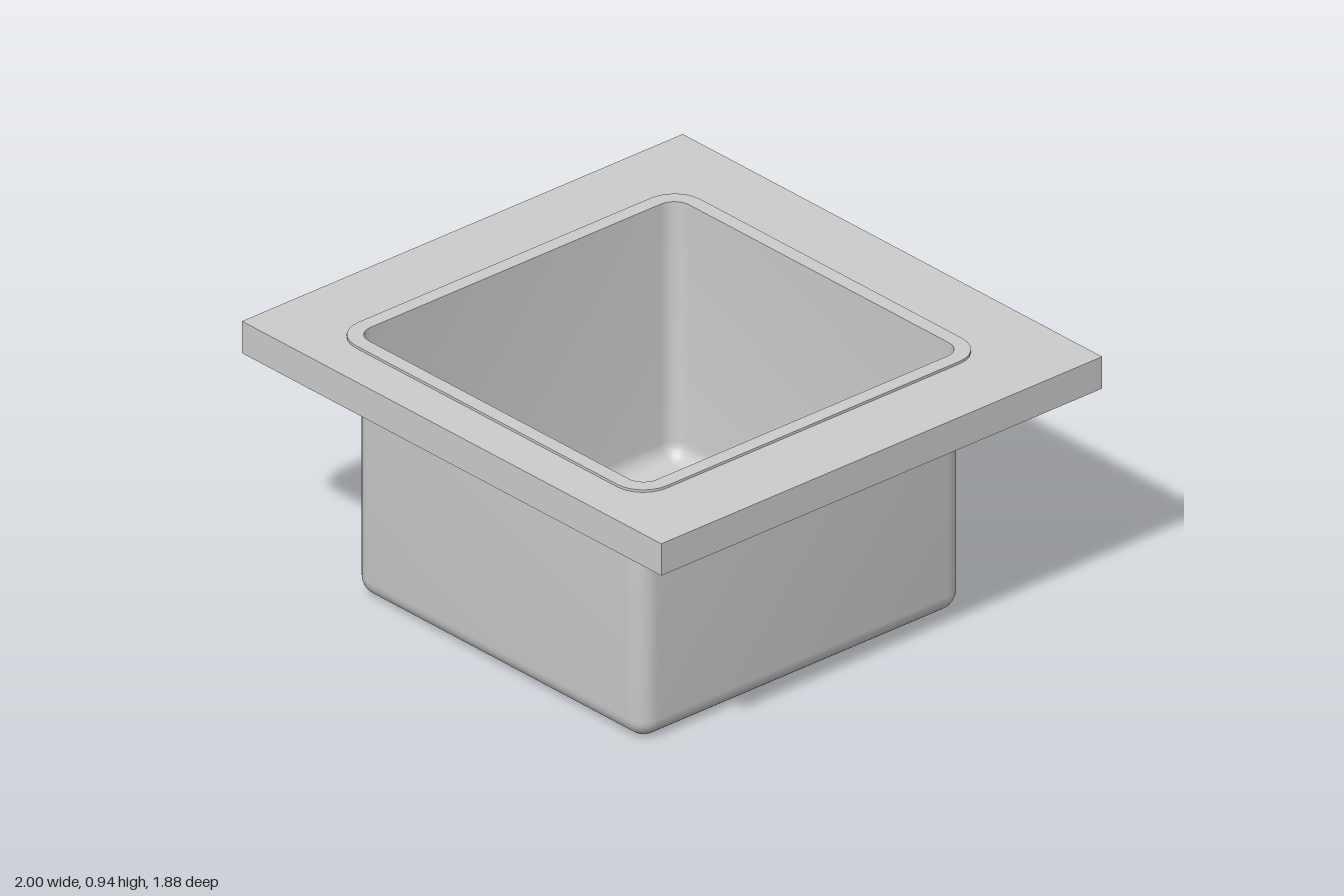
import * as THREE from 'three';
import { toCreasedNormals } from 'three/addons/utils/BufferGeometryUtils.js';

const material = new THREE.MeshStandardMaterial({ color: 0xcccccc });
const BASIN_Z = 0.056; // basin sits slightly forward of the slab centre
const STEPS = 6;       // segments per rounded corner

// Rounded square outline as [x, z] points
function outline(half, r) {
  const points = [];
  for (let corner = 0; corner < 4; corner++) {
    const mid = (corner + 0.5) * Math.PI / 2;
    const cx = Math.sign(Math.cos(mid)) * (half - r);
    const cz = Math.sign(Math.sin(mid)) * (half - r);
    for (let i = 0; i <= STEPS; i++) {
      const a = (corner + i / STEPS) * Math.PI / 2;
      points.push([cx + r * Math.cos(a), cz + r * Math.sin(a)]);
    }
  }
  return points;
}

// Skin joining rounded-square sections [half width, corner radius, y]
function loft(sections) {
  const positions = [], indices = [];
  const n = 4 * (STEPS + 1);
  sections.forEach(([half, r, y], s) => {
    for (const [x, z] of outline(half, r)) positions.push(x, y, z);
    if (s === 0) return;
    for (let i = 0; i < n; i++) {
      const j = (i + 1) % n, a = (s - 1) * n, b = s * n;
      if (sections[s - 1][0] > 0) indices.push(a + i, a + j, b + i);
      if (half > 0) indices.push(a + j, b + j, b + i);
    }
  });
  const geometry = new THREE.BufferGeometry();
  geometry.setAttribute('position', new THREE.Float32BufferAttribute(positions, 3));
  geometry.setIndex(indices);
  return toCreasedNormals(geometry, 0.6);
}

// Rounded bottom edge, from the floor up to the wall
function fillet(half, r, floorY) {
  const sections = [];
  for (let i = 0; i <= STEPS; i++) {
    const a = i / STEPS * Math.PI / 2;
    const inset = r * (1 - Math.sin(a));
    sections.push([half - inset, r - inset, floorY + r * (1 - Math.cos(a))]);
  }
  return sections;
}

export function createModel() {
  const group = new THREE.Group();

  // Square-edged slab with an opening for the basin
  const shape = new THREE.Shape([[-1, -0.94], [1, -0.94], [1, 0.94], [-1, 0.94]]
    .map(([x, y]) => new THREE.Vector2(x, y)));
  shape.holes.push(new THREE.Path(outline(0.705, 0.06)
    .map(([x, z]) => new THREE.Vector2(x, z - BASIN_Z))));
  const slabGeometry = new THREE.ExtrudeGeometry(shape, { depth: 0.115, bevelEnabled: false });
  slabGeometry.rotateX(-Math.PI / 2);
  const slab = new THREE.Mesh(slabGeometry, material);
  slab.name = 'counterSlab';
  slab.position.y = 0.81;
  group.add(slab);

  // Thin-walled basin: inside, overlapping rim, then outside
  const basin = new THREE.Mesh(loft([
    [0, 0, 0.007],
    ...fillet(0.683, 0.063, 0.007),
    [0.683, 0.063, 0.935],
    [0.735, 0.11, 0.935],
    [0.735, 0.11, 0.926],
    [0.69, 0.07, 0.926],
    ...fillet(0.69, 0.07, 0).reverse(),
    [0, 0, 0],
  ]), material);
  basin.name = 'basin';
  basin.position.z = BASIN_Z;
  group.add(basin);

  return group;
}
